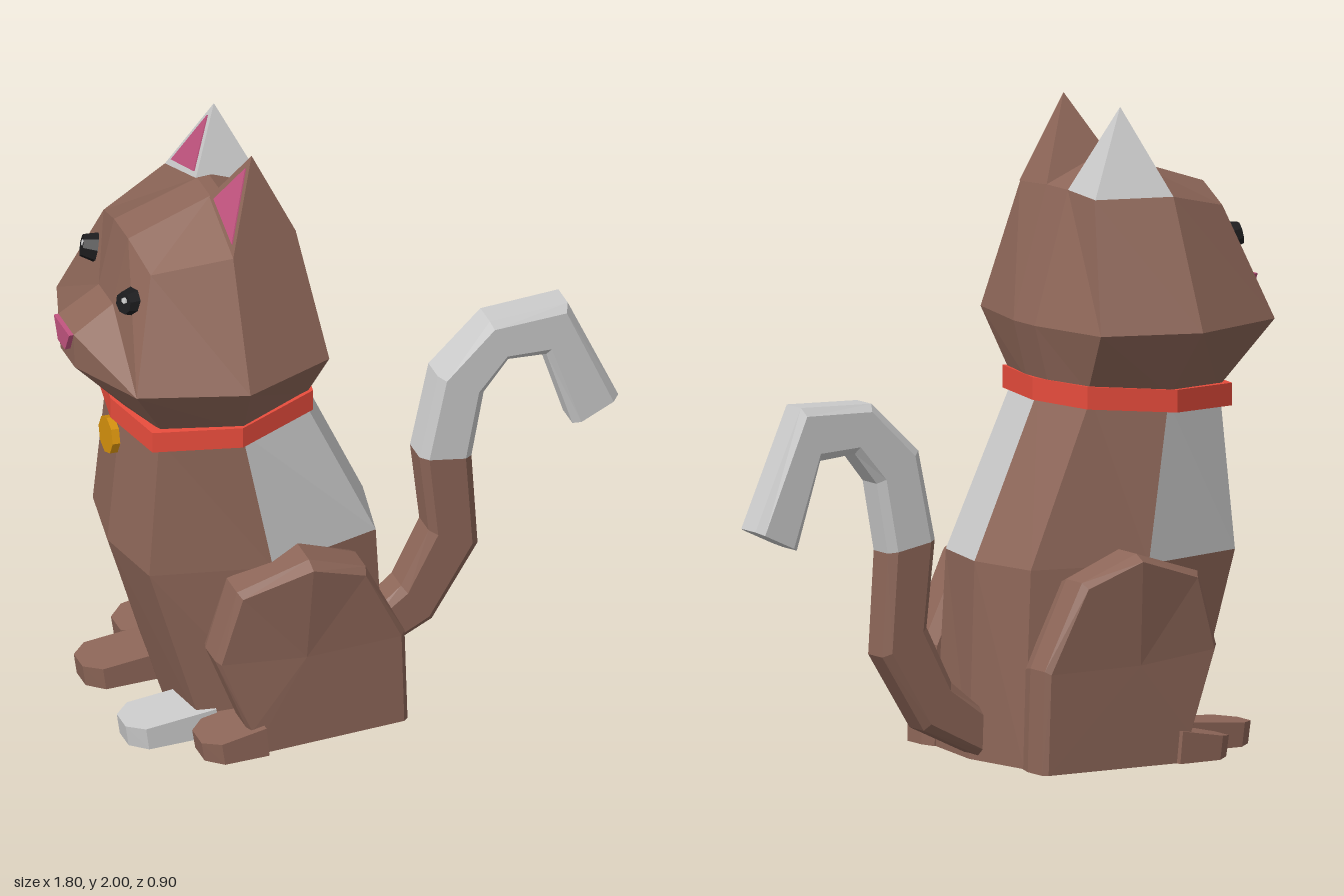
import * as THREE from 'three';

const mat = (color) => new THREE.MeshStandardMaterial({ color, flatShading: true, roughness: 0.9 });
const BROWN = mat(0x8d6658), GREY = mat(0xcccccc), RED = mat(0xe74c3c);
const PINK = mat(0xc2547f), GOLD = mat(0xd4900c), BLACK = mat(0x1c1c1e);

// Full ring from the half on the +z side; points on z = 0 are not doubled
const mirrored = (half) => [
  ...half,
  ...half.filter((p) => p[2] > 0).reverse().map(([x, y, z]) => [x, y, -z]),
];

// Flat-faced skin over rings of equal length, closed by end caps.
// keep(row, column) picks faces; caps are rows -1 and -2.
function loft(rings, keep = () => true) {
  const n = rings[0].length;
  const faces = [];
  const add = (row, col, ...pts) => faces.push({ row, col, pts: pts.map((p) => new THREE.Vector3(...p)) });
  for (let i = 0; i < rings.length - 1; i++) {
    for (let j = 0; j < n; j++) {
      const k = (j + 1) % n;
      const a = rings[i][j], b = rings[i][k], c = rings[i + 1][k], d = rings[i + 1][j];
      add(i, j, a, b, c);
      add(i, j, a, c, d);
    }
  }
  const cap = (ring, row, flip) => {
    const mid = [0, 1, 2].map((q) => ring.reduce((s, p) => s + p[q], 0) / n);
    ring.forEach((p, j) => {
      const r = ring[(j + 1) % n];
      if (flip) add(row, j, mid, r, p);
      else add(row, j, mid, p, r);
    });
  };
  cap(rings[0], -1, true);
  cap(rings[rings.length - 1], -2, false);
  // Turn all faces outward by the sign of the enclosed volume
  const volume = faces.reduce((s, { pts: [a, b, c] }) => s + a.dot(b.clone().cross(c)), 0);
  const out = [];
  for (const { row, col, pts: [a, b, c] } of faces) {
    const area = b.clone().sub(a).cross(c.clone().sub(a)).length();
    if (area < 1e-7 || !keep(row, col)) continue;
    out.push(a, ...(volume < 0 ? [c, b] : [b, c]));
  }
  const geo = new THREE.BufferGeometry().setFromPoints(out);
  geo.computeVertexNormals();
  return geo;
}

export function createModel() {
  const cat = new THREE.Group();
  cat.name = 'cat';
  const part = (name, geo, material) => {
    const m = new THREE.Mesh(geo, material);
    m.name = name;
    cat.add(m);
    return m;
  };

  // Body with pale patches on the back and one flank
  const body = [
    [[0.1, 0, 0], [0.06, 0, 0.25], [-0.25, 0, 0.33], [-0.53, 0, 0.24], [-0.57, 0, 0]],
    [[0.08, 0.61, 0], [0.03, 0.61, 0.24], [-0.34, 0.61, 0.33], [-0.71, 0.61, 0.24], [-0.755, 0.61, 0]],
    [[-0.15, 1.12, 0], [-0.2, 1.12, 0.22], [-0.43, 1.1, 0.3], [-0.67, 1.08, 0.22], [-0.71, 1.08, 0]],
  ].map(mirrored);
  const isPatch = (row, col) => row === 1 && [0, 1, 5].includes(col);
  part('body', loft(body, (r, c) => !isPatch(r, c)), BROWN);
  part('bodyPatches', loft(body, isPatch), GREY);

  // Collar, a little higher at the nape, and its tag
  const collar = [0, 0.07].map((h) => mirrored([
    [-0.13, 1.09 + h, 0], [-0.175, 1.09 + h, 0.24], [-0.44, 1.07 + h, 0.335],
    [-0.7, 1.055 + h, 0.24], [-0.745, 1.05 + h, 0],
  ]));
  part('collar', loft(collar), RED);
  const tag = part('collarTag', new THREE.CylinderGeometry(0.06, 0.06, 0.025, 8), GOLD);
  tag.rotation.z = Math.PI / 2 - 0.05;
  tag.position.set(-0.748, 0.99, 0);

  // Head: the cheek ring repeats with only the front points moving, forming the muzzle
  const cheeks = (front) => mirrored([
    [-0.1, 1.33, 0.06], [-0.16, 1.33, 0.34], [-0.46, 1.33, 0.45], [-0.79, 1.33, 0.34], front,
  ]);
  const crown = [-0.44, 1.815, 0.055];
  const head = [
    mirrored([[-0.15, 1.14, 0.06], [-0.19, 1.14, 0.22], [-0.43, 1.12, 0.31], [-0.66, 1.11, 0.22], [-0.7, 1.1, 0.06]]),
    cheeks([-0.885, 1.3, 0.06]),
    cheeks([-0.89, 1.42, 0.065]),
    cheeks([-0.76, 1.5, 0.06]),
    mirrored([[-0.22, 1.74, 0.06], [-0.22, 1.73, 0.21], [-0.455, 1.73, 0.29], [-0.69, 1.67, 0.2], [-0.71, 1.725, 0.06]]),
    mirrored([[-0.4, 1.815, 0.055], crown, crown, crown, crown]),
  ];
  part('head', loft(head), BROWN);

  // Nose
  const nose = [-0.905, -0.88].map((x) => [[x, 1.42, 0.065], [x, 1.42, -0.065], [x, 1.35, -0.03], [x, 1.35, 0.03]]);
  part('nose', loft(nose), PINK);

  // Front paw shape: chamfered toes, top sloping down to the front
  const paw = (x0, x1, z0, z1, y0, y1) => {
    const cx = 0.05, cz = 0.045;
    const plan = [[x1, z0], [x1, z1], [x0 + cx, z1], [x0, z1 - cz], [x0, z0 + cz], [x0 + cx, z0]];
    const slope = (x) => y0 + ((y1 - y0) * (x - x0)) / (x1 - x0);
    return loft([
      plan.map(([x, z]) => [x + 0.01, 0, z]),
      plan.map(([x, z]) => [x, slope(x), z]),
    ]);
  };

  // Haunch outline, seen from the side
  const haunch = [
    [0.08, 0], [0.07, 0.32], [-0.06, 0.585], [-0.25, 0.66],
    [-0.48, 0.585], [-0.55, 0.35], [-0.45, 0.09], [-0.45, 0],
  ];
  // Ring of the haunch, shrunk by k and bulging outward at its middle
  const haunchRing = (z, k, bulge) => haunch.map(([x, y]) => [
    -0.235 + (x + 0.235) * k, y * (1 - (1 - k) * 0.6), z - bulge * Math.abs(x + 0.25),
  ]);

  for (const s of [1, -1]) {
    const side = s > 0 ? 'left' : 'right';
    const flip = (pts) => pts.map(([x, y, z]) => [x, y, z * s]);
    const span = (a, b) => (s > 0 ? [a, b] : [-b, -a]);
    const pale = s > 0 ? 'right' : 'left';

    // Hind leg and both paws
    const rings = [haunchRing(0.25, 0.95, 0), haunchRing(0.3, 1, 0), haunchRing(0.4, 1, 0.06), haunchRing(0.44, 0.95, 0.14)];
    part(side + 'HindLeg', loft(rings.map(flip)), BROWN);
    part(side + 'HindPaw', paw(-0.595, -0.4, ...span(0.26, 0.43), 0.065, 0.1), BROWN);
    part(side + 'FrontPaw', paw(-0.78, -0.5, ...span(0.1, 0.265), 0.07, 0.095), pale === 'right' ? GREY : BROWN);

    // Ear pyramid with a pink inner triangle
    const tip = [-0.345, 2, 0.16];
    const base = [[-0.445, 1.81, 0.055], [-0.455, 1.73, 0.29], [-0.22, 1.73, 0.215], [-0.22, 1.74, 0.06]];
    part(side + 'Ear', loft([flip(base), flip([tip, tip, tip, tip])]), s > 0 ? BROWN : GREY);
    const front = [base[0], base[1], tip];
    const mid = [0, 1, 2].map((q) => (front[0][q] + front[1][q] + front[2][q]) / 3);
    const inner = [-0.004, 0.004].map((d) => flip(front.map((p) => [
      mid[0] + (p[0] - mid[0]) * 0.74 + d, mid[1] + (p[1] - mid[1]) * 0.74 - d * 0.4, mid[2] + (p[2] - mid[2]) * 0.74,
    ])));
    part(side + 'InnerEar', loft(inner), PINK);

    // Eye disc with a small glint
    const normal = new THREE.Vector3(-0.93, 0.2, 0.3 * s).normalize();
    const eye = part(side + 'Eye', new THREE.CylinderGeometry(0.035, 0.047, 0.045, 8), BLACK);
    eye.quaternion.setFromUnitVectors(new THREE.Vector3(0, 1, 0), normal);
    eye.position.set(-0.75, 1.57, 0.17 * s);
    const glint = part(side + 'EyeGlint', new THREE.CylinderGeometry(0.01, 0.01, 0.006, 6), GREY);
    glint.quaternion.copy(eye.quaternion);
    glint.position.copy(eye.position).addScaledVector(normal, 0.023).add(new THREE.Vector3(0, 0.015, 0.01));
  }

  // Tail: each row gives the inner and outer edge of the curl (x, y, x, y)
  const tail = [
    [0.06, 0, 0.08, 0.16], [0.29, 0.11, 0.19, 0.25], [0.44, 0.35, 0.28, 0.43], [0.42, 0.67, 0.25, 0.7],
    [0.46, 0.89, 0.31, 0.98], [0.54, 0.99, 0.48, 1.14], [0.665, 0.98, 0.735, 1.15], [0.75, 0.71, 0.9, 0.78],
  ].map(([ax, ay, bx, by]) => [
    [0, 0.04], [0.15, 0.06], [0.85, 0.06], [1, 0.04], [1, -0.04], [0.85, -0.06], [0.15, -0.06], [0, -0.04],
  ].map(([t, z]) => [ax + (bx - ax) * t, ay + (by - ay) * t, z]));
  const isTip = (row) => row >= 3 || row === -2;
  part('tail', loft(tail, (r) => !isTip(r)), BROWN);
  part('tailTip', loft(tail, isTip), GREY);

  return cat;
}
